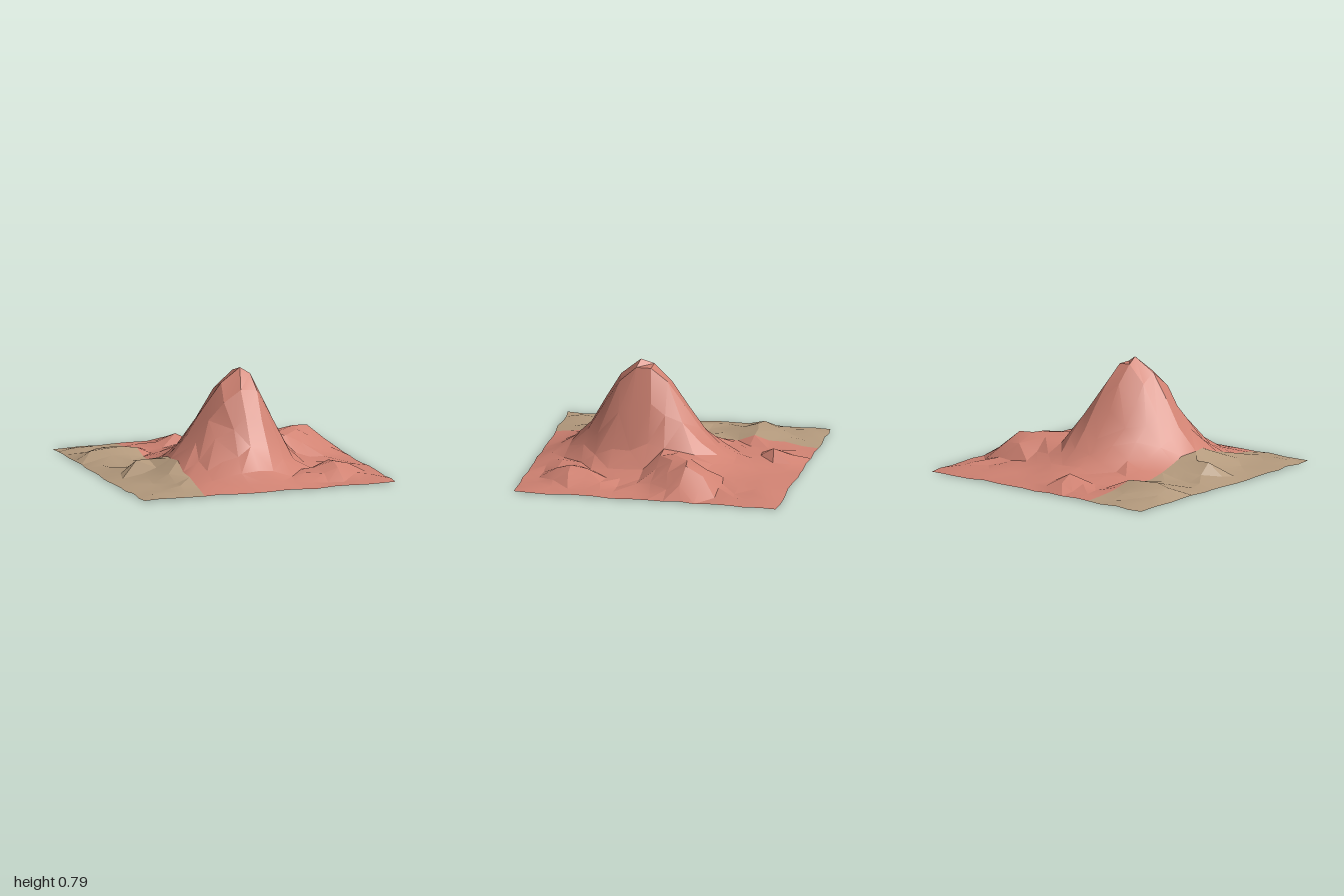
import * as THREE from 'three';
import { toCreasedNormals } from 'three/addons/utils/BufferGeometryUtils.js';

const N = 16;          // grid cells per side
const SAND_COLS = 4;   // columns covered by sand
const PEAK = { x: 0.04, z: 0.23 };

// Mountain slope: [scaled distance from the peak, height]
const SLOPE = [[0, 0.79], [0.3, 0.75], [0.42, 0.7], [0.7, 0.59], [1, 0.4],
  [1.3, 0.25], [1.6, 0.13], [2, 0.04], [2.5, 0]];

// Smaller ridges and knolls: [x1, z1, x2, z2, height, radius]
const BUMPS = [
  [0.4, -0.05, 0.68, -0.26, 0.215, 0.32],    // right shoulder ridge
  [0.61, 0.62, 0.65, 0.6, 0.11, 0.24],       // front right knoll
  [0.3, 0.72, 0.4, 0.7, 0.05, 0.2],
  [-0.12, -0.77, -0.1, -0.78, 0.09, 0.16],   // back knoll
  [-0.76, 0.125, -0.62, 0.125, 0.115, 0.13], // sand knolls
  [-0.62, 0.36, -0.62, 0.48, 0.07, 0.13],
  [-0.8, -0.52, -0.55, -0.52, 0.06, 0.2],
];

// Repeatable noise from 0 to 1
function hash(i, j, k) {
  const s = Math.sin(i * 127.1 + j * 311.7 + k * 74.7) * 43758.5453;
  return s - Math.floor(s);
}

// Steep to the front and right, with the back flank leaning right
function mountain(x, z) {
  const dz = z - PEAK.z;
  const dx = x - PEAK.x + 0.22 * Math.min(0, dz);
  const u = Math.hypot(dx / (dx < 0 ? 0.35 : 0.235), dz / (dz < 0 ? 0.4 : 0.305));
  for (let k = 1; k < SLOPE.length; k++) {
    const [u0, h0] = SLOPE[k - 1], [u1, h1] = SLOPE[k];
    if (u <= u1) return h0 + (h1 - h0) * (u - u0) / (u1 - u0);
  }
  return 0;
}

function bump(x, z, [x1, z1, x2, z2, h, r]) {
  const vx = x2 - x1, vz = z2 - z1;
  const t = THREE.MathUtils.clamp(((x - x1) * vx + (z - z1) * vz) / (vx * vx + vz * vz), 0, 1);
  const d = Math.hypot(x - x1 - t * vx, z - z1 - t * vz);
  return h * (1 - THREE.MathUtils.smoothstep(d, r * 0.1, r));
}

// One jittered terrain point
function point(i, j) {
  if (i === 8 && j === 10) return [PEAK.x, 0.79, PEAK.z];
  const edgeX = i === 0 || i === N, edgeZ = j === 0 || j === N;
  let x = -1 + 2 * i / N, z = -1 + 2 * j / N;
  const jx = hash(i, j, 1), jz = hash(i, j, 2);
  x = edgeX ? x * (1 - 0.022 * jx) : x + (jx - 0.5) * 0.035;
  z = edgeZ ? z * (1 - 0.022 * jz) : z + (jz - 0.5) * 0.035;
  if (edgeX || edgeZ) return [x, 0.012 * hash(i, j, 3), z];
  const fade = Math.min(1, (1 - Math.max(Math.abs(x), Math.abs(z))) / 0.25);
  let y = mountain(x, z);
  for (const b of BUMPS) y = Math.max(y, bump(x, z, b));
  // Ground roughness, fading out on the higher slopes
  const rough = Math.max(0, 1 - y / 0.2) * (0.012 + 0.036 * fade * hash(i, j, 4));
  return [x, y + rough, z];
}

// Strip of terrain between two grid columns
function terrain(name, from, to, material) {
  const pos = [], index = [], rows = N + 1;
  for (let i = from; i <= to; i++) {
    for (let j = 0; j <= N; j++) pos.push(...point(i, j));
  }
  for (let i = 0; i < to - from; i++) {
    for (let j = 0; j < N; j++) {
      const a = i * rows + j, b = a + 1, c = a + rows, d = c + 1;
      if (hash(i + from, j, 5) < 0.5) index.push(a, b, c, b, d, c);
      else index.push(a, b, d, a, d, c);
    }
  }
  const geo = new THREE.BufferGeometry();
  geo.setAttribute('position', new THREE.Float32BufferAttribute(pos, 3));
  geo.setIndex(index);
  const mesh = new THREE.Mesh(toCreasedNormals(geo, 0.3), material);
  mesh.name = name;
  return mesh;
}

export function createModel() {
  const rock = new THREE.MeshStandardMaterial({ color: 0xd08272, side: THREE.DoubleSide });
  rock.name = 'red rock';
  const sand = new THREE.MeshStandardMaterial({ color: 0xb49a7d, side: THREE.DoubleSide });
  sand.name = 'tan sand';

  const group = new THREE.Group();
  group.name = 'mountainTerrain';
  group.add(terrain('sandStrip', 0, SAND_COLS, sand));
  group.add(terrain('rockMountain', SAND_COLS, N, rock));
  return group;
}
